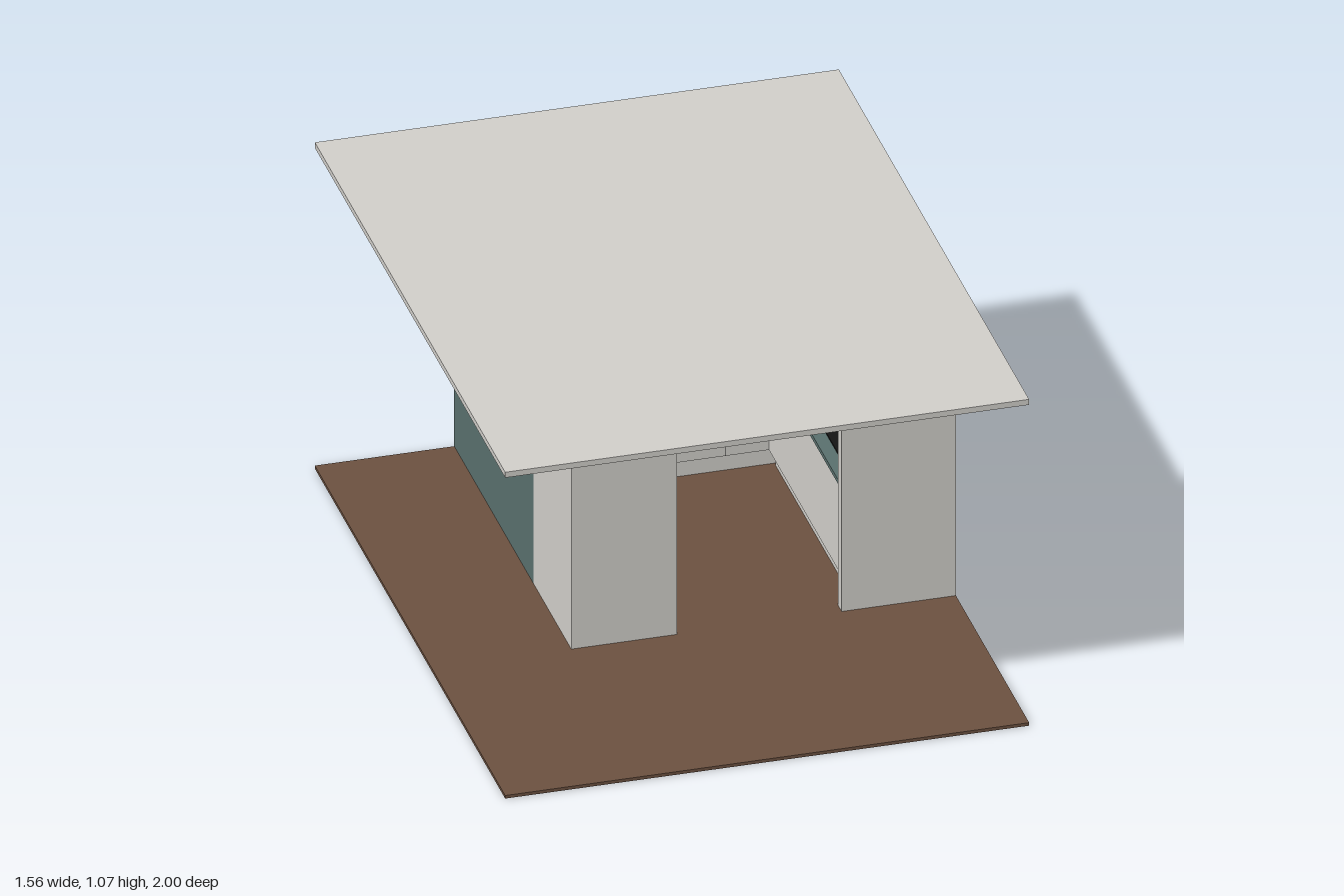
import * as THREE from 'three';

export function createModel() {
  const model = new THREE.Group();
  model.name = 'kitchen';
  const mat = (name, color) => {
    const m = new THREE.MeshStandardMaterial({ color });
    m.name = name;
    return m;
  };
  const pale = mat('paleGrey', 0xd2d0cb);
  const teal = mat('teal', 0x5a706e);
  const olive = mat('olive', 0x8a9038);
  const brown = mat('brownWood', 0x6c5140);
  const black = mat('black', 0x141414);

  const group = (name) => {
    const g = new THREE.Group();
    g.name = name;
    model.add(g);
    return g;
  };
  const add = (name, geometry, material, parent = model) => {
    const m = new THREE.Mesh(geometry, material);
    m.name = name;
    parent.add(m);
    return m;
  };
  // Box given by its limits on each axis
  const box = (name, material, [x0, x1], [y0, y1], [z0, z1], parent) => {
    const m = add(name, new THREE.BoxGeometry(x1 - x0, y1 - y0, z1 - z0), material, parent);
    m.position.set((x0 + x1) / 2, (y0 + y1) / 2, (z0 + z1) / 2);
    return m;
  };
  const tube = (name, material, points, radius, parent) => {
    const path = new THREE.CatmullRomCurve3(points.map((p) => new THREE.Vector3(...p)));
    return add(name, new THREE.TubeGeometry(path, 16, radius, 8), material, parent);
  };

  // Floor and ceiling slabs
  box('floor', brown, [-0.78, 0.78], [0, 0.01], [-1, 1]);
  box('ceiling', pale, [-0.78, 0.78], [1.055, 1.073], [-1, 1]);

  // Back wall with window opening
  const rect = (Type, x0, x1, y0, y1) => {
    const s = new Type();
    s.moveTo(x0, y0);
    s.lineTo(x1, y0);
    s.lineTo(x1, y1);
    s.lineTo(x0, y1);
    s.closePath();
    return s;
  };
  const wallShape = rect(THREE.Shape, -0.365, 0.78, 0.01, 1.055);
  wallShape.holes.push(rect(THREE.Path, -0.125, 0.54, 0.465, 0.96));
  const wallGeometry = new THREE.ExtrudeGeometry(wallShape, { depth: 0.12, bevelEnabled: false });
  add('backWall', wallGeometry, teal).position.z = -1;

  // Side walls
  box('leftSideWall', pale, [0.75, 0.78], [0.01, 1.055], [-0.88, 0.23]);
  box('leftEndWall', pale, [0.44, 0.75], [0.01, 1.055], [0.19, 0.23]);
  box('rightSideWall', teal, [-0.365, -0.335], [0.01, 1.055], [-0.88, -0.165]);

  // Window frame, mullion, opening sash and sill
  const win = group('window');
  const frame = (name, x0, x1, y0, y1, w, z0, z1) => {
    const shape = rect(THREE.Shape, x0, x1, y0, y1);
    shape.holes.push(rect(THREE.Path, x0 + w, x1 - w, y0 + w, y1 - w));
    const g = new THREE.ExtrudeGeometry(shape, { depth: z1 - z0, bevelEnabled: false });
    add(name, g, pale, win).position.z = z0;
  };
  frame('outerFrame', -0.125, 0.54, 0.465, 0.96, 0.022, -0.95, -0.915);
  box('mullion', pale, [0.31, 0.333], [0.487, 0.938], [-0.95, -0.915], win);
  box('transom', pale, [0.333, 0.518], [0.775, 0.8], [-0.95, -0.915], win);
  frame('sash', 0.328, 0.523, 0.484, 0.797, 0.022, -0.945, -0.905);
  box('windowHandle', black, [0.336, 0.343], [0.625, 0.67], [-0.905, -0.893], win);
  box('windowSill', pale, [-0.125, 0.54], [0.458, 0.466], [-0.915, -0.865], win);

  // Roller blind and its pull cord
  const blind = group('rollerBlind');
  box('blindCloth', olive, [-0.125, 0.54], [0.8, 0.95], [-0.874, -0.87], blind);
  const roller = add('blindRoller', new THREE.CylinderGeometry(0.009, 0.009, 0.67, 16), olive, blind);
  roller.rotation.z = Math.PI / 2;
  roller.position.set(0.2075, 0.947, -0.868);
  box('blindRail', pale, [-0.13, 0.545], [0.956, 0.964], [-0.88, -0.86], blind);
  box('pullCord', black, [0.208, 0.211], [0.745, 0.8], [-0.873, -0.87], blind);

  // Tall cupboard by the entrance
  const tall = group('tallCupboard');
  box('tallEndPanel', pale, [-0.365, -0.05], [0.01, 1.055], [0.17, 0.23], tall);
  box('tallBody', pale, [-0.365, -0.075], [0.07, 1.055], [-0.165, 0.17], tall);
  box('tallPlinth', pale, [-0.365, -0.09], [0.01, 0.07], [-0.165, 0.17], tall);
  box('tallLowerDoor', pale, [-0.075, -0.056], [0.07, 0.378], [-0.08, 0.168], tall);
  box('tallUpperDoor', pale, [-0.075, -0.056], [0.39, 1.05], [-0.08, 0.168], tall);
  box('tallHandleGap', black, [-0.075, -0.057], [0.378, 0.39], [-0.07, 0.16], tall);

  // Sink run under the window
  const sinkRun = group('sinkRun');
  box('sinkCabinets', pale, [-0.335, 0.75], [0.065, 0.388], [-0.88, -0.64], sinkRun);
  box('sinkPlinth', pale, [-0.335, 0.75], [0.01, 0.065], [-0.88, -0.655], sinkRun);
  box('sinkWorktop', teal, [-0.335, 0.75], [0.388, 0.402], [-0.88, -0.62], sinkRun);
  box('backsplash', pale, [-0.335, 0.75], [0.402, 0.46], [-0.88, -0.872], sinkRun);
  for (const [x0, x1] of [[-0.32, -0.11], [-0.09, 0.075], [0.11, 0.32], [0.36, 0.44]]) {
    box('handleSlot', black, [x0, x1], [0.376, 0.388], [-0.64, -0.632], sinkRun);
  }
  for (const x of [-0.1, 0.095, 0.34]) {
    box('doorGap', black, [x - 0.001, x + 0.001], [0.066, 0.376], [-0.64, -0.639], sinkRun);
  }
  box('sinkBowl', black, [0.1, 0.31], [0.402, 0.404], [-0.81, -0.67], sinkRun);

  // Tap
  const tap = group('tap');
  const post = add('tapPost', new THREE.CylinderGeometry(0.007, 0.009, 0.12, 16), teal, tap);
  post.position.set(0.213, 0.462, -0.84);
  tube('tapSpout', teal, [[0.213, 0.505, -0.84], [0.213, 0.52, -0.81], [0.213, 0.515, -0.76], [0.213, 0.495, -0.745]], 0.006, tap);
  tube('tapLever', teal, [[0.213, 0.44, -0.84], [0.23, 0.443, -0.835], [0.25, 0.448, -0.83]], 0.004, tap);

  // Kettle on the sill
  const kettle = group('kettle');
  kettle.position.set(0.02, 0.466, -0.89);
  const profile = [[0, 0], [0.024, 0], [0.031, 0.012], [0.03, 0.027], [0.02, 0.041], [0, 0.045]];
  const points = profile.map(([x, y]) => new THREE.Vector2(x, y));
  add('kettleBody', new THREE.LatheGeometry(points, 24), pale, kettle);
  add('kettleKnob', new THREE.SphereGeometry(0.006, 12, 8), black, kettle).position.y = 0.05;
  tube('kettleSpout', pale, [[-0.026, 0.015, 0], [-0.036, 0.024, 0], [-0.041, 0.034, 0]], 0.004, kettle);
  tube('kettleHandle', black, [[0.022, 0.038, 0], [0.038, 0.036, 0], [0.037, 0.019, 0], [0.028, 0.012, 0]], 0.004, kettle);

  // Cooking run along the left side wall
  const cookRun = group('cookingRun');
  box('cookCabinets', pale, [0.47, 0.75], [0.065, 0.388], [-0.64, 0.19], cookRun);
  box('cookPlinth', pale, [0.49, 0.75], [0.01, 0.065], [-0.64, 0.19], cookRun);
  box('cookWorktop', teal, [0.45, 0.75], [0.388, 0.402], [-0.62, 0.19], cookRun);
  box('woodPanel', brown, [0.744, 0.75], [0.402, 0.62], [-0.87, 0.19], cookRun);
  box('hob', black, [0.49, 0.72], [0.402, 0.407], [-0.25, 0.02], cookRun);
  for (const z of [-0.6, -0.33, -0.06]) {
    box('handleSlot', black, [0.462, 0.47], [0.376, 0.388], [z, z + 0.23], cookRun);
  }

  // Stool tucked in the corner
  const stool = group('stool');
  box('stoolSeat', teal, [-0.27, -0.13], [0.17, 0.21], [-0.46, -0.32], stool);
  for (const x of [-0.26, -0.14]) {
    for (const z of [-0.45, -0.33]) {
      box('stoolLeg', black, [x - 0.005, x + 0.005], [0.01, 0.17], [z - 0.005, z + 0.005], stool);
    }
  }

  // Ceiling lamp
  box('ceilingLamp', black, [0.23, 0.31], [1.046, 1.055], [-0.42, -0.34]);

  return model;
}
